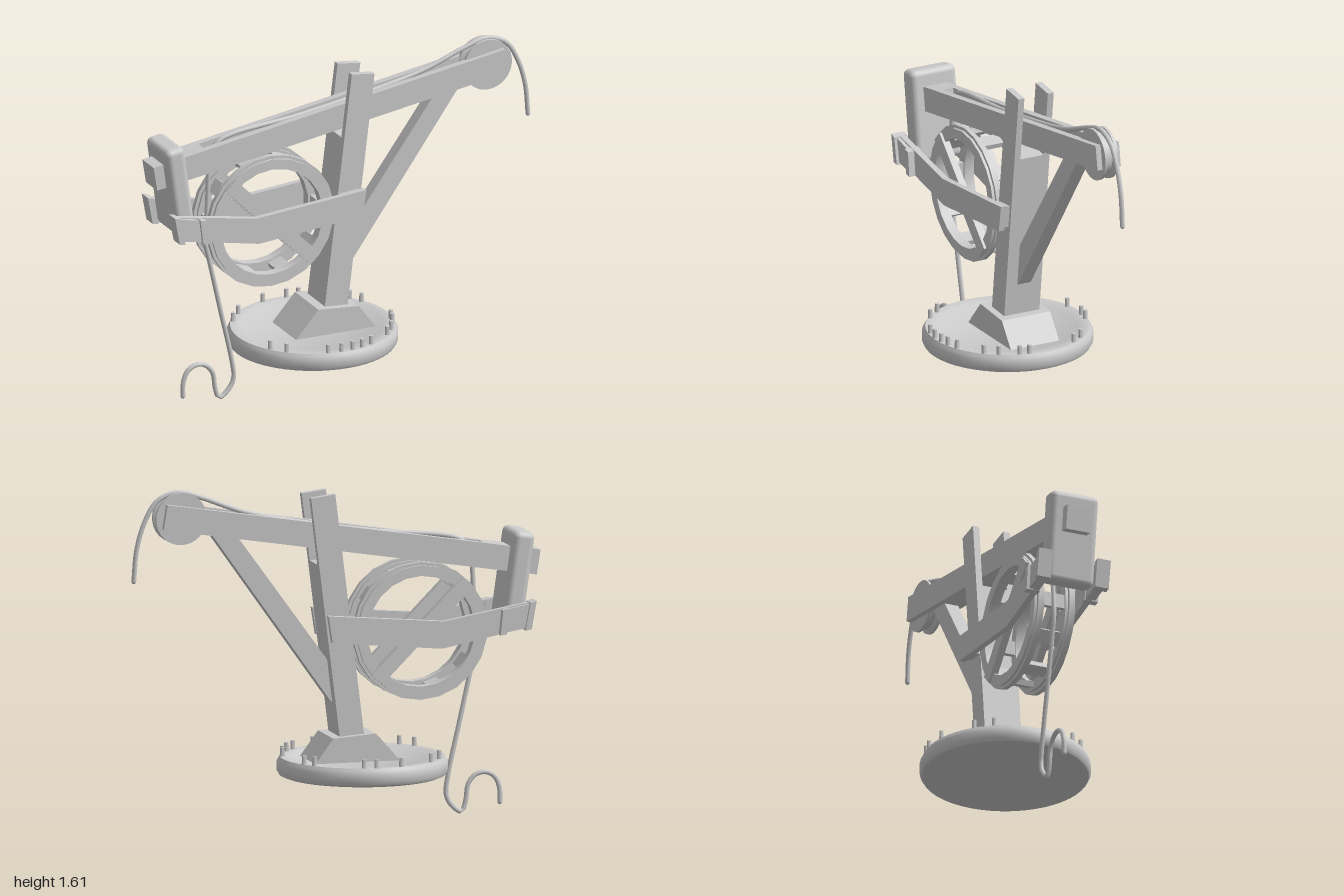
import * as THREE from 'three';
import { RoundedBoxGeometry } from 'three/addons/geometries/RoundedBoxGeometry.js';
import { toCreasedNormals } from 'three/addons/utils/BufferGeometryUtils.js';

export function createModel() {
  const root = new THREE.Group();
  const mat = new THREE.MeshStandardMaterial({ color: 0xcccccc });
  const add = (name, geo, parent = root) => {
    const m = new THREE.Mesh(geo, mat);
    m.name = name;
    parent.add(m);
    return m;
  };
  const box = (name, w, h, d, x, y, z, parent = root) => {
    const m = add(name, new THREE.BoxGeometry(w, h, d), parent);
    m.position.set(x, y, z);
    return m;
  };
  // Flat outline in x/y given thickness from z0 to z1
  const slab = (name, pts, z0, z1) => {
    const shape = new THREE.Shape(pts.map(([x, y]) => new THREE.Vector2(x, y)));
    const geo = new THREE.ExtrudeGeometry(shape, { depth: z1 - z0, bevelEnabled: false });
    return add(name, geo.translate(0, 0, z0));
  };
  const lathe = (pts, seg) => toCreasedNormals(
    new THREE.LatheGeometry(pts.map(([r, y]) => new THREE.Vector2(r, y)), seg), 0.6);

  // Round base with a shallow recess
  const base = new THREE.Group();
  base.name = 'base';
  base.position.x = -0.14;
  root.add(base);
  add('baseDisc', lathe([[0, 0.22], [0.375, 0.22], [0.395, 0.228], [0.405, 0.245], [0.405, 0.285],
    [0.397, 0.3], [0.39, 0.312], [0.345, 0.312], [0.33, 0.302], [0, 0.302]], 48), base);

  // Pegs in clusters around the rim
  const pegAngles = [-148, -133, -103, -84, -75, -37, -27, 13, 20, 35, 46, 68, 77, 85, 94, 104, 134, 147];
  const pegGeo = toCreasedNormals(new THREE.CylinderGeometry(0.011, 0.012, 0.055, 8), 0.9);
  pegAngles.forEach((deg) => {
    const a = THREE.MathUtils.degToRad(deg);
    add('peg', pegGeo, base).position.set(0.378 * Math.cos(a), 0.327, 0.378 * Math.sin(a));
  });

  // Mast foot, mast and its forked top
  slab('mastFoot', [[-0.29, 0.3], [0.13, 0.3], [0.04, 0.42], [-0.17, 0.435]], -0.13, 0.13);
  const mast = new THREE.Group();
  mast.name = 'mast';
  mast.position.set(-0.075, 0.31, 0);
  mast.rotation.z = -0.122;
  root.add(mast);
  box('mastCore', 0.12, 0.95, 0.13, 0, 0.475, 0, mast);
  for (const s of [-1, 1]) box('mastPost', 0.12, 1.275, 0.032, 0, 0.6375, s * 0.079, mast);

  // Diagonal brace between mast and boom
  slab('brace', [[0.0, 0.56], [0.03, 0.59], [0.62, 1.42], [0.49, 1.4], [0.04, 0.78], [-0.04, 0.67]], -0.035, 0.035);

  // Boom of two rails with filler between them, axis along local x
  const boom = new THREE.Group();
  boom.name = 'boom';
  boom.position.set(-0.99, 1.208, 0);
  boom.rotation.z = 0.16;
  root.add(boom);
  for (const s of [-1, 1]) box('boomRail', 1.86, 0.12, 0.036, 0.93, 0, s * 0.045, boom);
  box('boomFloor', 1.6, 0.08, 0.06, 0.8, -0.02, 0, boom);
  box('boomEnd', 0.28, 0.12, 0.06, 0.14, 0, 0, boom);

  // Grooved pulley at the boom tip
  const pulley = add('pulley', lathe([[0, -0.036], [0.125, -0.036], [0.125, -0.022], [0.105, -0.012],
    [0.105, 0.012], [0.125, 0.022], [0.125, 0.036], [0, 0.036]], 32));
  pulley.rotation.x = Math.PI / 2;
  pulley.position.set(0.76, 1.49, 0);

  // Rounded counterweight across the boom
  const weight = add('counterweight', new RoundedBoxGeometry(0.1, 0.45, 0.245, 3, 0.03));
  weight.position.set(-0.88, 1.14, 0);
  weight.rotation.z = 0.14;

  // Winding drum: two rims, diagonal spokes and cross slats
  const drum = new THREE.Group();
  drum.name = 'drum';
  drum.position.set(-0.4, 0.91, 0);
  root.add(drum);
  const rim = (r0, r1, z0, z1) => {
    const g = lathe([[r0, z0], [r1, z0], [r1, z1], [r0, z1], [r0, z0]], 22);
    add('drumRim', g.rotateX(Math.PI / 2), drum);
  };
  for (const s of [-1, 1]) {
    const z = s * 0.08;
    rim(0.265, 0.315, z - 0.025, z + 0.025);
    rim(0.29, 0.33, z - 0.012, z + 0.012);
    box('drumSpoke', 0.62, 0.07, 0.035, 0, 0, s * 0.1, drum).rotation.z = -Math.PI / 4;
  }
  for (let i = 0; i < 10; i++) {
    const a = (i / 10) * Math.PI * 2;
    box('drumSlat', 0.025, 0.07, 0.13, 0.285 * Math.cos(a), 0.285 * Math.sin(a), 0, drum).rotation.z = a;
  }

  // Side arms from mast to counterweight, with end clamps
  for (const s of [-1, 1]) {
    const side = (name, pts, a, b) => slab(name, pts, Math.min(s * a, s * b), Math.max(s * a, s * b));
    side('sideArm', [[-0.92, 0.915], [-0.49, 0.83], [0.05, 0.88], [0.07, 1.01], [-0.5, 0.96], [-0.93, 1.035]], 0.122, 0.152);
    side('armSpacer', [[-0.06, 0.88], [0.04, 0.89], [0.055, 1.0], [-0.045, 0.99]], 0.09, 0.125);
    side('clamp', [[-0.91, 0.915], [-0.785, 0.893], [-0.8, 1.005], [-0.925, 1.03]], 0.12, 0.17);
    side('clampRib', [[-0.92, 0.908], [-0.89, 0.903], [-0.915, 1.035], [-0.945, 1.043]], 0.115, 0.185);
    side('clampRib', [[-0.797, 0.89], [-0.767, 0.885], [-0.78, 1.005], [-0.812, 1.013]], 0.115, 0.185);
  }

  // Rope over the pulley, along the boom and down past the drum
  const ropePath = (pts) => new THREE.CatmullRomCurve3(pts.map(([x, y]) => new THREE.Vector3(x, y, 0)), false, 'centripetal');
  const rope = (name, pts, n) => {
    const curve = ropePath(pts);
    add(name, new THREE.TubeGeometry(curve, n, 0.012, 8));
    // Closed ends
    for (const t of [0, 1]) add('ropeEnd', new THREE.SphereGeometry(0.012, 8, 6)).position.copy(curve.getPoint(t));
  };
  rope('upperRope', [[0.985, 1.195], [0.97, 1.35], [0.93, 1.48], [0.87, 1.575], [0.77, 1.613], [0.66, 1.585],
    [0.45, 1.507], [0.25, 1.46], [-0.2, 1.385], [-0.62, 1.327], [-0.67, 1.27], [-0.682, 1.18], [-0.69, 1.0],
    [-0.7, 0.82], [-0.685, 0.75]], 90);
  rope('lowerRope', [[-0.685, 0.75], [-0.62, 0.46], [-0.56, 0.19], [-0.552, 0.11], [-0.575, 0.06], [-0.628, 0.022],
    [-0.65, 0.08], [-0.66, 0.15], [-0.695, 0.195], [-0.745, 0.207], [-0.79, 0.185], [-0.815, 0.13], [-0.817, 0.06]], 50);

  return root;
}
